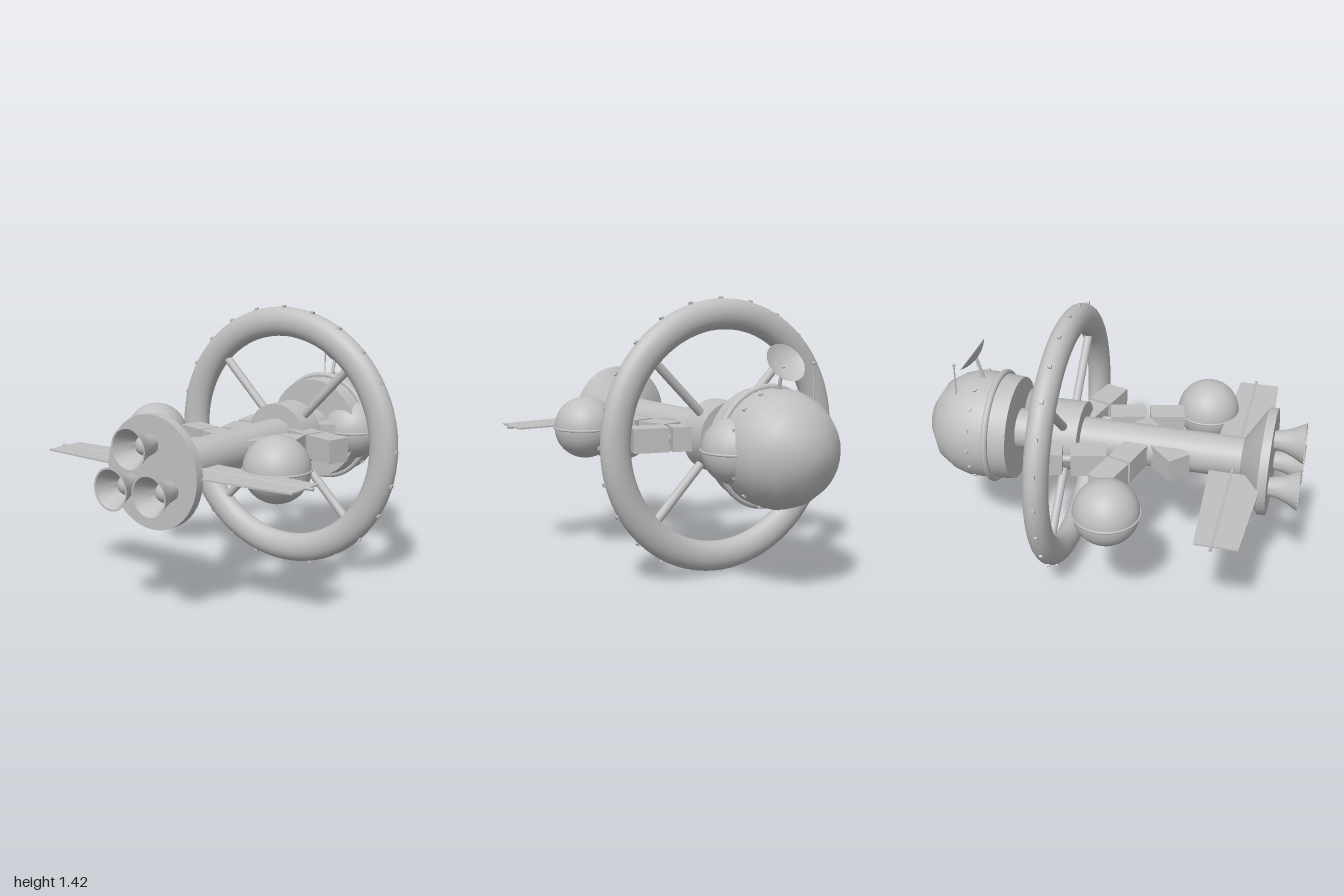
import * as THREE from 'three';
import { toCreasedNormals } from 'three/addons/utils/BufferGeometryUtils.js';

const AXIS_Y = 0.72; // height of the main axis
const RING_Z = -0.235;

export function createModel() {
  const model = new THREE.Group();
  const hull = new THREE.MeshStandardMaterial({ color: 0xc0c0c0, side: THREE.DoubleSide });
  hull.name = 'hullGrey';

  const add = (name, geometry, x = 0, y = AXIS_Y, z = 0, parent = model) => {
    const mesh = new THREE.Mesh(geometry, hull);
    mesh.name = name;
    mesh.position.set(x, y, z);
    parent.add(mesh);
    return mesh;
  };

  // Turned part around the z axis; points are [radius, z] with z rising
  const turned = (points, crease = 0.6, segments = 40) => {
    const g = new THREE.LatheGeometry(points.map(p => new THREE.Vector2(p[0], p[1])), segments);
    g.rotateX(Math.PI / 2);
    return toCreasedNormals(g, crease);
  };

  // Round bar between two points
  const bar = (name, a, b, radius) => {
    const from = new THREE.Vector3(...a), to = new THREE.Vector3(...b);
    const dir = to.clone().sub(from);
    const mesh = add(name, new THREE.CylinderGeometry(radius, radius, dir.length(), 12));
    mesh.position.copy(from).add(to).multiplyScalar(0.5);
    mesh.quaternion.setFromUnitVectors(new THREE.Vector3(0, 1, 0), dir.normalize());
  };

  // Circle of small rivets around the main axis
  const rivetCircle = (name, count, radius, z, size) => {
    for (let i = 0; i < count; i++) {
      const a = i / count * Math.PI * 2;
      const rivet = add(name, new THREE.BoxGeometry(size, size, size),
        Math.cos(a) * radius, AXIS_Y + Math.sin(a) * radius, z);
      rivet.rotation.z = a;
    }
  };

  // Spine, hub and engine plate
  add('spine', turned([[0.108, -0.53], [0.108, 0.71]]));
  add('hub', turned([[0, -0.315], [0.187, -0.315], [0.187, -0.155], [0, -0.155]]));
  add('enginePlate', turned([[0.1, 0.69], [0.112, 0.695], [0.278, 0.8], [0.278, 0.845], [0, 0.845]], 0.5, 48));

  // Habitat ring with spokes and rivets
  const ring = add('habitatRing', new THREE.TorusGeometry(0.624, 0.078, 24, 80), 0, AXIS_Y, RING_Z);
  ring.scale.z = 0.8;
  for (let i = 0; i < 4; i++) {
    const a = Math.PI / 4 + i * Math.PI / 2, c = Math.cos(a), s = Math.sin(a);
    bar('spoke', [c * 0.15, AXIS_Y + s * 0.15, RING_Z], [c * 0.58, AXIS_Y + s * 0.58, RING_Z], 0.023);
  }
  rivetCircle('ringRivet', 24, 0.702, -0.225, 0.018);

  // Three engine bells, each with an inner bulb
  const bellShape = turned([[0.046, 0.84], [0.058, 0.9], [0.078, 0.95], [0.105, 1],
    [0.096, 1], [0.07, 0.95], [0.05, 0.9], [0.038, 0.85]], 0.8, 32);
  for (let i = 0; i < 3; i++) {
    const a = Math.PI / 2 + i * Math.PI * 2 / 3;
    const x = Math.cos(a) * 0.138, y = AXIS_Y + Math.sin(a) * 0.138;
    add('engineBell', bellShape, x, y, 0);
    add('engineBulb', new THREE.SphereGeometry(0.05, 20, 14), x, y, 0.88);
  }

  // Domed command module with collar and rivets
  add('commandModule', turned([[0, -1], [0.1, -0.983], [0.213, -0.913], [0.264, -0.83],
    [0.288, -0.75], [0.287, -0.66], [0.276, -0.513], [0, -0.513]], 1, 32));
  add('moduleCollar', new THREE.TorusGeometry(0.289, 0.017, 12, 64), 0, AXIS_Y, -0.62);
  rivetCircle('moduleRivet', 16, 0.288, -0.715, 0.016);

  // Dish antenna, opening upward and to the rear
  const dish = add('dish', new THREE.LatheGeometry([[0, -0.028], [0.04, -0.023],
    [0.075, -0.012], [0.103, 0.004]].map(p => new THREE.Vector2(...p)), 32), 0, 1.135, -0.755);
  dish.quaternion.setFromUnitVectors(new THREE.Vector3(0, 1, 0), new THREE.Vector3(0, 0.586, -0.81).normalize());
  bar('dishPost', [0, 0.99, -0.7], [0, 1.118, -0.738], 0.009);

  // Whip antenna
  bar('whipAntenna', [-0.123, 0.93, -0.815], [-0.123, 1.13, -0.815], 0.004);
  add('antennaTip', new THREE.SphereGeometry(0.009, 10, 8), -0.123, 1.132, -0.815);

  // Spherical tanks with a riveted seam
  for (const [x, z] of [[-0.617, 0.118], [0.433, 0.437], [0.19, -0.625]]) {
    const tank = new THREE.Group();
    tank.name = 'tank';
    tank.position.set(x, AXIS_Y, z);
    model.add(tank);
    add('tankShell', new THREE.SphereGeometry(0.166, 36, 24), 0, 0, 0, tank);
    const seam = add('tankSeam', new THREE.TorusGeometry(0.167, 0.006, 8, 48), 0, 0, 0, tank);
    seam.rotation.x = Math.PI / 2;
  }

  // Cargo boxes in chains: [x, z, heading in the floor plane in degrees]
  const boxes = [
    [-0.352, 0.062, 18], [-0.165, 0.122, 17], [-0.203, -0.08, 75], [-0.25, -0.3, 77], [-0.105, 0.325, -45],
    [0.11, -0.385, -45], [0.36, -0.11, 17], [0.17, -0.17, 17], [0.21, 0.03, 76], [0.258, 0.24, 76], [0.065, 0.18, -45],
  ];
  for (const [x, z, heading] of boxes) {
    const box = add('cargoBox', new THREE.BoxGeometry(0.183, 0.124, 0.124), x, AXIS_Y, z);
    box.rotation.y = -heading * Math.PI / 180;
  }
  // Short couplings between neighbouring boxes
  for (const [i, j] of [[0, 1], [1, 2], [2, 3], [6, 7], [7, 8], [8, 9]]) {
    bar('coupling', [boxes[i][0], AXIS_Y, boxes[i][1]], [boxes[j][0], AXIS_Y, boxes[j][1]], 0.02);
  }

  // Tapered solar wings, each split in two along a boom
  for (const side of [1, -1]) {
    for (const [inner, outer, edge] of [[0.54, 0.57, 0.652], [0.82, 0.783, 0.66]]) {
      const shape = new THREE.Shape([[0.157, edge], [0.76, edge], [0.76, outer], [0.157, inner]]
        .map(([x, z]) => new THREE.Vector2(x * side, z)));
      const panel = new THREE.ExtrudeGeometry(shape, { depth: 0.009, bevelEnabled: false });
      panel.rotateX(Math.PI / 2);
      add('solarPanel', panel, 0, AXIS_Y + 0.0045, 0);
    }
    bar('solarBoom', [side * 0.09, AXIS_Y, 0.656], [side * 0.79, AXIS_Y, 0.656], 0.008);
  }

  return model;
}
